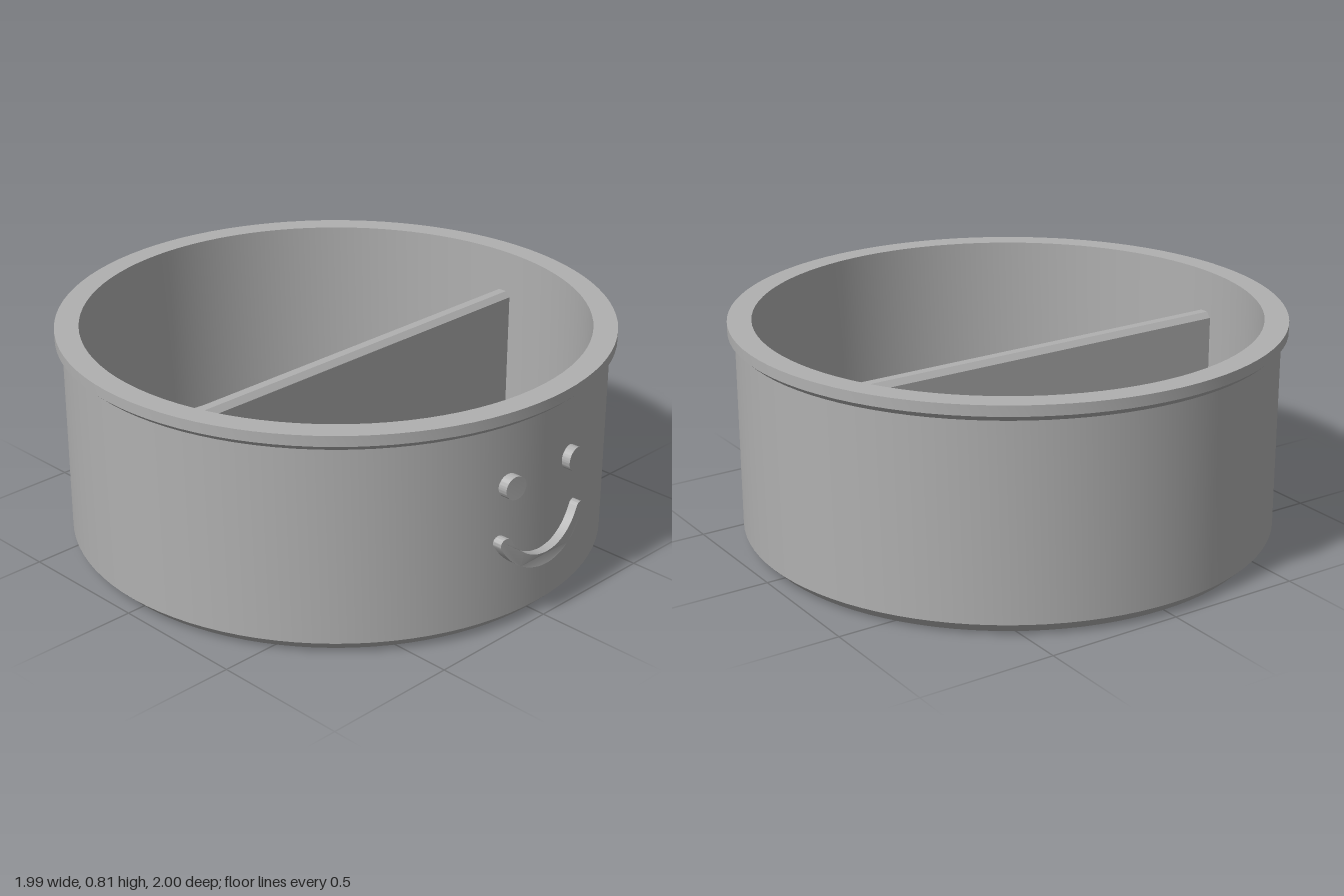
import * as THREE from 'three';
import { toCreasedNormals } from 'three/addons/utils/BufferGeometryUtils.js';

const CENTER_Z = -0.004; // the bowl sits slightly back to make room for the face
const BODY_R = 0.971;
const RELIEF = 0.033;

export function createModel() {
  const model = new THREE.Group();
  model.name = 'dividedBowl';
  const grey = new THREE.MeshStandardMaterial({ color: 0xb0b0b0 });
  grey.name = 'grey';

  const add = (name, geometry) => {
    const mesh = new THREE.Mesh(toCreasedNormals(geometry, 0.45), grey);
    mesh.name = name;
    mesh.position.z = CENTER_Z;
    model.add(mesh);
  };

  // Bowl: chamfered foot, straight wall, overhanging rim, chamfered inner floor
  const profile = [
    [0, 0], [0.93, 0], [BODY_R, 0.041], [BODY_R, 0.75], [0.996, 0.772], [0.996, 0.81],
    [0.91, 0.81], [0.91, 0.113], [0.857, 0.06], [0, 0.06],
  ].map(([r, y]) => new THREE.Vector2(r, y));
  add('bowl', new THREE.LatheGeometry(profile, 96));

  // Divider: upright wall with a chamfered top edge
  const w = 0.037, top = 0.65, c = 0.02;
  const section = new THREE.Shape([
    [-w, 0.05], [w, 0.05], [w, top - c], [w - c, top], [c - w, top], [-w, top - c],
  ].map(([x, y]) => new THREE.Vector2(x, y)));
  const divider = new THREE.ExtrudeGeometry(section, { depth: 1.84, bevelEnabled: false });
  divider.translate(0, 0, -0.92).rotateY(Math.PI / 2);
  add('divider', divider);

  // Raised face details, wrapped around the cylindrical wall
  const wrap = (shape) => {
    const geometry = new THREE.ExtrudeGeometry(shape, {
      depth: RELIEF + 0.02, bevelEnabled: false, curveSegments: 32,
    });
    const p = geometry.attributes.position;
    for (let i = 0; i < p.count; i++) {
      const r = BODY_R - 0.02 + p.getZ(i);
      p.setZ(i, Math.sqrt(r * r - p.getX(i) ** 2));
    }
    return geometry;
  };

  for (const [name, x] of [['rightEye', -0.156], ['leftEye', 0.148]]) {
    const eye = new THREE.Shape();
    eye.absarc(x, 0.534, 0.042, 0, Math.PI * 2);
    add(name, wrap(eye));
  }

  // Smile: circular band with rounded ends
  const R = 0.215, half = 0.023, cy = 0.437, spread = 1.07;
  const a0 = -Math.PI / 2 - spread, a1 = -Math.PI / 2 + spread;
  const smile = new THREE.Shape();
  smile.absarc(0, cy, R + half, a0, a1, false);
  smile.absarc(R * Math.cos(a1), cy + R * Math.sin(a1), half, a1, a1 + Math.PI, false);
  smile.absarc(0, cy, R - half, a1, a0, true);
  smile.absarc(R * Math.cos(a0), cy + R * Math.sin(a0), half, a0 + Math.PI, a0 + Math.PI * 2, false);
  add('smile', wrap(smile));

  return model;
}
